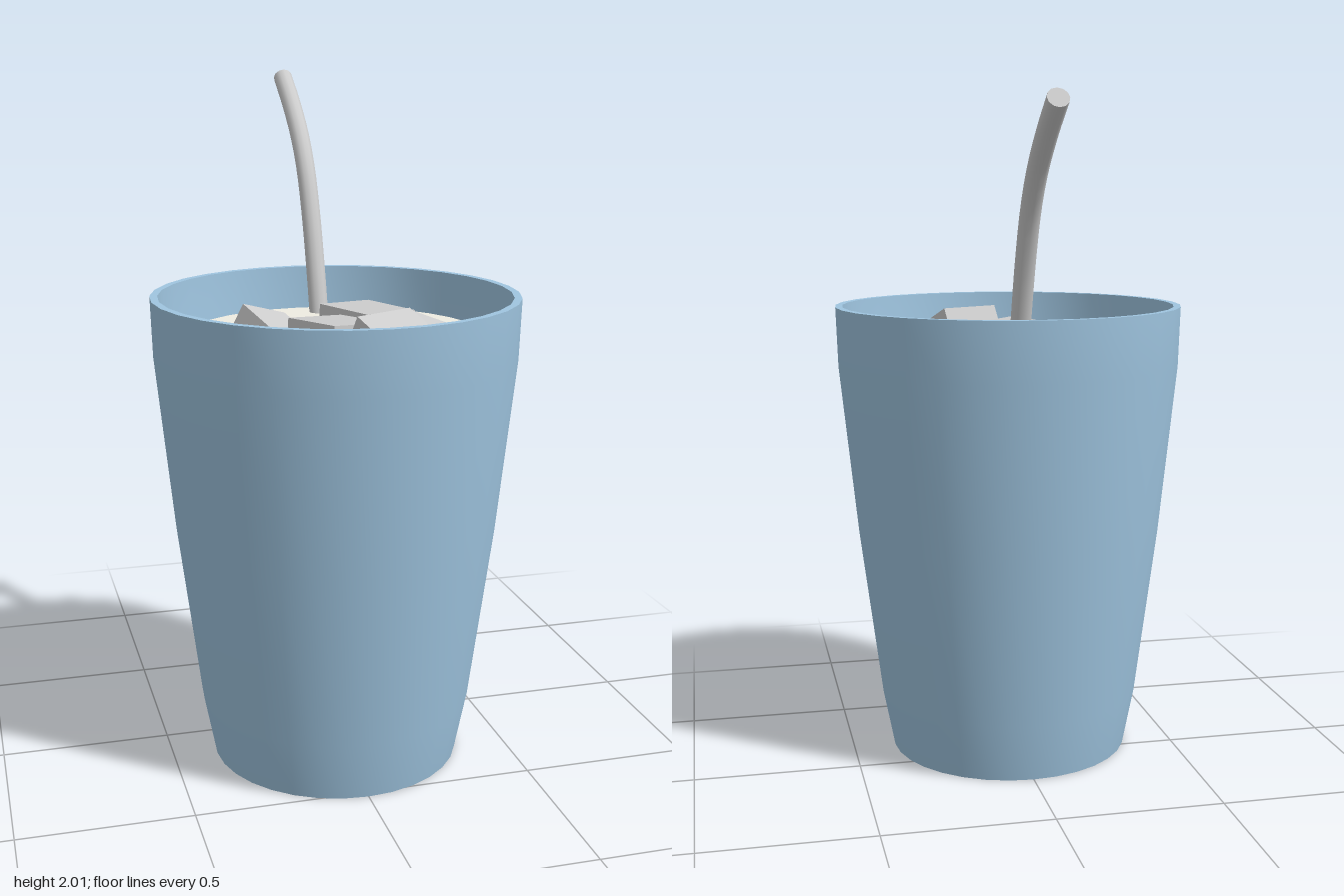
import * as THREE from 'three';

const CUP_Z = 0.155;

const paint = (color) => new THREE.MeshStandardMaterial({ color });

// Surface of revolution; each strip is smoothed on its own so joints stay crisp
function addLathe(parent, name, strips, material) {
  const part = new THREE.Group();
  part.name = name;
  part.position.z = CUP_Z;
  for (const strip of strips) {
    const points = strip.map(([r, y]) => new THREE.Vector2(r, y));
    const mesh = new THREE.Mesh(new THREE.LatheGeometry(points, 32), material);
    mesh.name = name + 'Surface';
    part.add(mesh);
  }
  parent.add(part);
}

export function createModel() {
  const model = new THREE.Group();
  model.name = 'icedDrink';
  const grey = paint(0xcccccc);

  // Tapered cup: base, outer wall, rim, inner wall, inner floor
  addLathe(model, 'cup', [
    [[0, 0], [0.37, 0]],
    [[0.37, 0], [0.405, 0.18], [0.472, 0.7], [0.526, 1.22], [0.532, 1.4]],
    [[0.532, 1.4], [0.51, 1.4]],
    [[0.51, 1.4], [0.503, 1.22], [0.45, 0.7], [0.385, 0.18], [0.36, 0.05]],
    [[0.36, 0.05], [0, 0.05]],
  ], paint(0x9fc5e0));

  // Drink with a softly rounded upper edge
  addLathe(model, 'drink', [
    [[0, 0.06], [0.34, 0.06]],
    [[0.34, 0.06], [0.37, 0.18], [0.43, 0.7], [0.456, 1.24], [0.456, 1.265], [0.452, 1.276], [0.443, 1.28]],
    [[0.443, 1.28], [0, 1.28]],
  ], paint(0xefece2));

  // Ice cubes: [top face centre x, y, z, yaw, forward tilt, sideways tilt, size]
  const ice = new THREE.Group();
  ice.name = 'iceCubes';
  const cubes = [
    [0.13, 1.335, 0.04, 0.475, 0.02, -0.06, 0.2],
    [-0.01, 1.335, 0.215, 0.45, -0.03, -0.08, 0.2],
    [-0.14, 1.305, 0.05, 0.4, 0.35, -0.3, 0.17],
    [0.255, 1.305, 0.235, -0.54, 0.1, -0.3, 0.18],
    [0.125, 1.335, 0.43, 0.46, 0.45, 0, 0.2],
  ];
  for (const [x, y, z, yaw, tiltX, tiltZ, size] of cubes) {
    const cube = new THREE.Mesh(new THREE.BoxGeometry(size, size, size), grey);
    cube.name = 'iceCube';
    cube.rotation.set(tiltX, yaw, tiltZ, 'YXZ');
    cube.position.set(x, y, z);
    cube.translateY(-size / 2);
    ice.add(cube);
  }
  model.add(ice);

  // Bent straw, running down into the drink
  const path = new THREE.CatmullRomCurve3([
    [0.2, 0.08], [0.75, -0.06], [1.28, -0.205], [1.4, -0.24], [1.56, -0.295],
    [1.7, -0.36], [1.8, -0.435], [1.9, -0.55], [1.981, -0.668],
  ].map(([y, z]) => new THREE.Vector3(0.045, y, z)));
  const radius = 0.03;
  const straw = new THREE.Group();
  straw.name = 'straw';
  const tube = new THREE.Mesh(new THREE.TubeGeometry(path, 40, radius, 12), grey);
  tube.name = 'strawTube';
  straw.add(tube);
  for (const t of [0, 1]) {
    const end = new THREE.Mesh(new THREE.CircleGeometry(radius, 12), grey);
    end.name = 'strawEnd';
    const outward = path.getTangentAt(t).multiplyScalar(t ? 1 : -1);
    end.position.copy(path.getPointAt(t));
    end.quaternion.setFromUnitVectors(new THREE.Vector3(0, 0, 1), outward);
    straw.add(end);
  }
  model.add(straw);

  return model;
}
